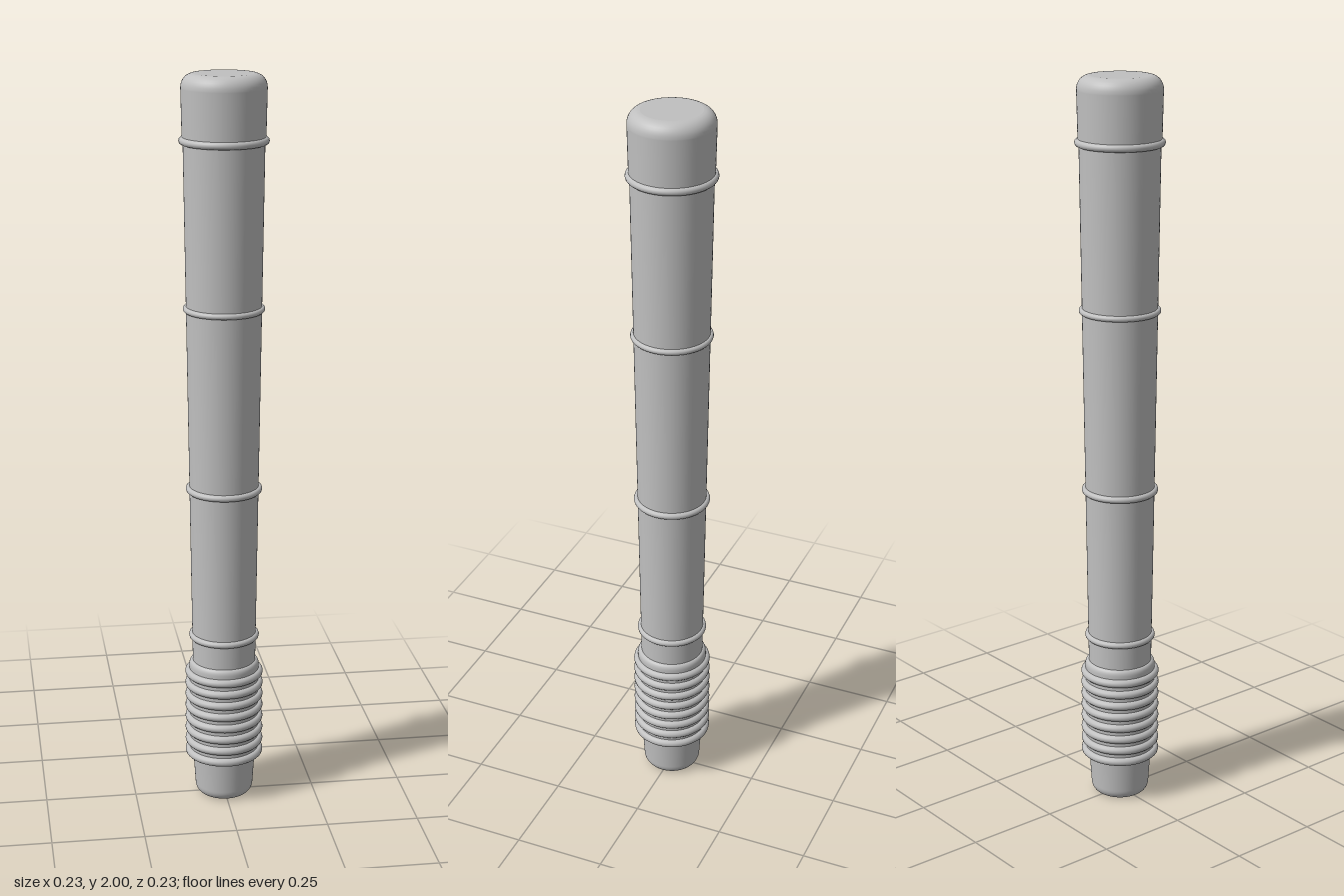
import * as THREE from 'three';

const SEGMENTS = 64;

export function createModel() {
  const group = new THREE.Group();
  const grey = new THREE.MeshStandardMaterial({ color: 0xc0c0c0 });
  grey.name = 'grey';

  const add = (name, geometry, y = 0) => {
    const mesh = new THREE.Mesh(geometry, grey);
    mesh.name = name;
    mesh.position.y = y;
    group.add(mesh);
  };
  // Profile points run from bottom to top as [radius, height]
  const lathe = (points) =>
    new THREE.LatheGeometry(points.map(([r, y]) => new THREE.Vector2(r, y)), SEGMENTS);
  // Quarter-round profile between two angles
  const arc = (cx, cy, rx, ry, from, to, steps = 8) =>
    Array.from({ length: steps + 1 }, (_, i) => {
      const a = from + ((to - from) * i) / steps;
      return [cx + rx * Math.cos(a), cy + ry * Math.sin(a)];
    });
  const ring = (radius, tube) =>
    new THREE.TorusGeometry(radius, tube, 12, SEGMENTS).rotateX(Math.PI / 2);

  // Tapered shaft
  add('shaft', new THREE.CylinderGeometry(0.106, 0.086, 1.44, SEGMENTS, 1, true), 1.11);

  // Rounded end cap with a flat top
  add('topCap', lathe([[0.108, 1.82], [0.111, 1.962], ...arc(0.078, 1.965, 0.033, 0.035, 0, Math.PI / 2)]));
  add('topCapFace', new THREE.CircleGeometry(0.078, SEGMENTS).rotateX(-Math.PI / 2), 2);

  // Raised rings along the shaft: [height, centre radius, tube radius]
  [[1.83, 0.107, 0.01], [1.39, 0.1, 0.008], [0.895, 0.094, 0.009], [0.473, 0.087, 0.009]]
    .forEach(([y, radius, tube], i) => add(`shaftRing${i + 1}`, ring(radius, tube), y));

  // Grip core with a softened shoulder
  add('gripCore', lathe([[0.08, 0.11], [0.095, 0.115], [0.096, 0.38], ...arc(0.086, 0.385, 0.01, 0.015, 0, Math.PI / 2, 5)]));
  for (let i = 0; i < 8; i++) {
    add(`gripRidge${i + 1}`, ring(0.096, 0.0115), 0.128 + i * 0.0337);
  }

  // Rounded, slightly tapered pommel
  add('pommel', lathe([...arc(0.057, 0.028, 0.023, 0.028, -Math.PI / 2, 0), [0.086, 0.12]]));
  add('pommelFace', new THREE.CircleGeometry(0.057, SEGMENTS).rotateX(Math.PI / 2));

  return group;
}
